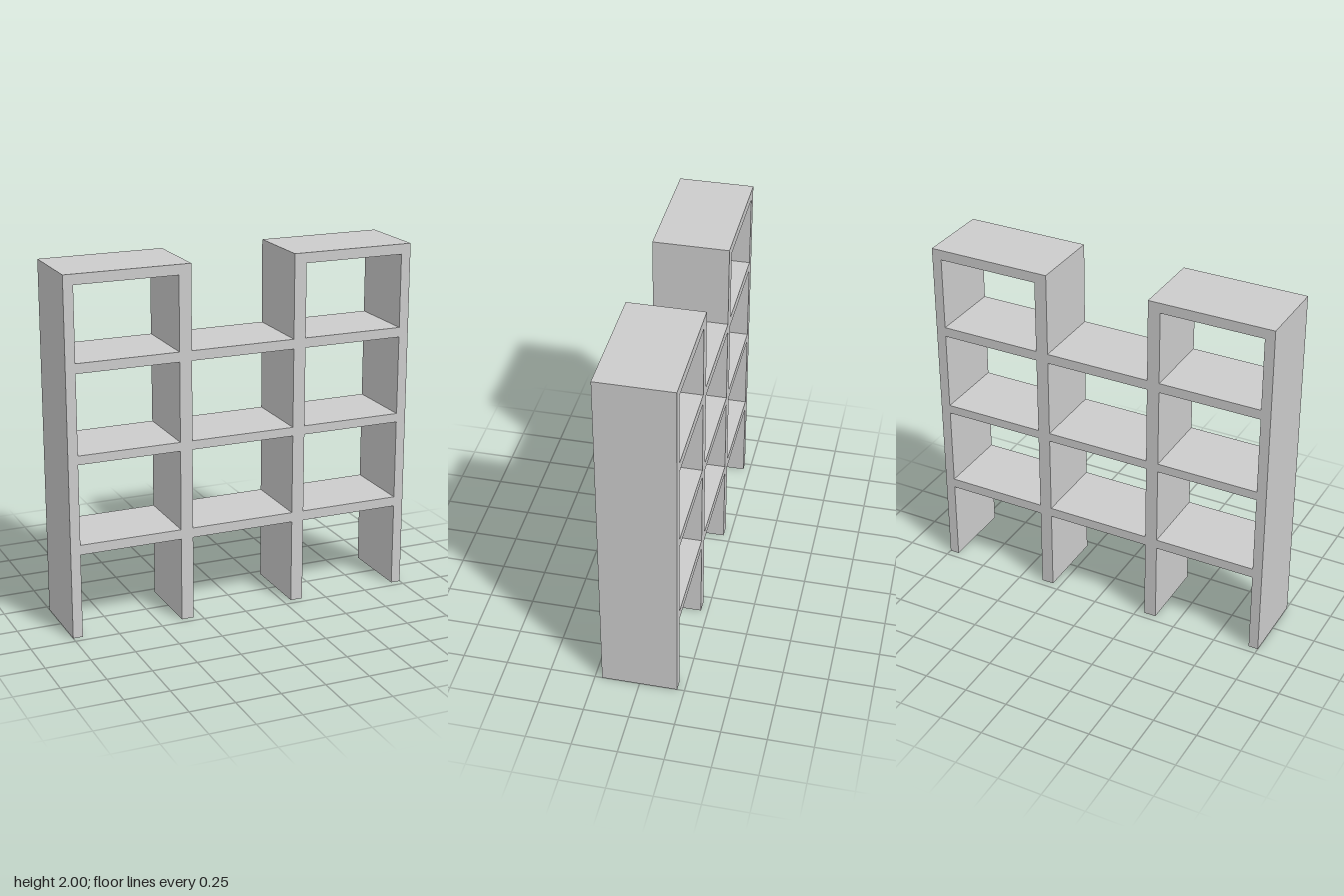
import * as THREE from 'three';

const DEPTH = 0.42;

export function createModel() {
  const model = new THREE.Group();
  model.name = 'shelvingUnit';
  const material = new THREE.MeshStandardMaterial({ color: 0xcccccc });

  // Full-depth board spanning x0..x1 and y0..y1
  function board(name, x0, x1, y0, y1) {
    const mesh = new THREE.Mesh(new THREE.BoxGeometry(x1 - x0, y1 - y0, DEPTH), material);
    mesh.position.set((x0 + x1) / 2, (y0 + y1) / 2, 0);
    mesh.name = name;
    model.add(mesh);
  }

  const outer = 1, outerInside = 0.945;        // outer upright faces
  const innerOutside = 0.368, innerInside = 0.298; // inner upright faces
  const shelves = [[0.475, 0.53], [0.98, 1.03], [1.475, 1.53]];

  // Uprights reach the floor and the full height
  board('leftOuterUpright', outerInside, outer, 0, 2);
  board('rightOuterUpright', -outer, -outerInside, 0, 2);
  board('leftInnerUpright', innerInside, innerOutside, 0, 2);
  board('rightInnerUpright', -innerOutside, -innerInside, 0, 2);

  // Three shelf levels butted between the uprights in each bay
  shelves.forEach(([y0, y1], i) => {
    board(`leftShelf${i + 1}`, innerOutside, outerInside, y0, y1);
    board(`middleShelf${i + 1}`, -innerInside, innerInside, y0, y1);
    board(`rightShelf${i + 1}`, -outerInside, -innerOutside, y0, y1);
  });

  // Top panels close the two side towers; the middle bay stays open
  board('leftTop', innerOutside, outerInside, 1.943, 2);
  board('rightTop', -outerInside, -innerOutside, 1.943, 2);

  return model;
}
